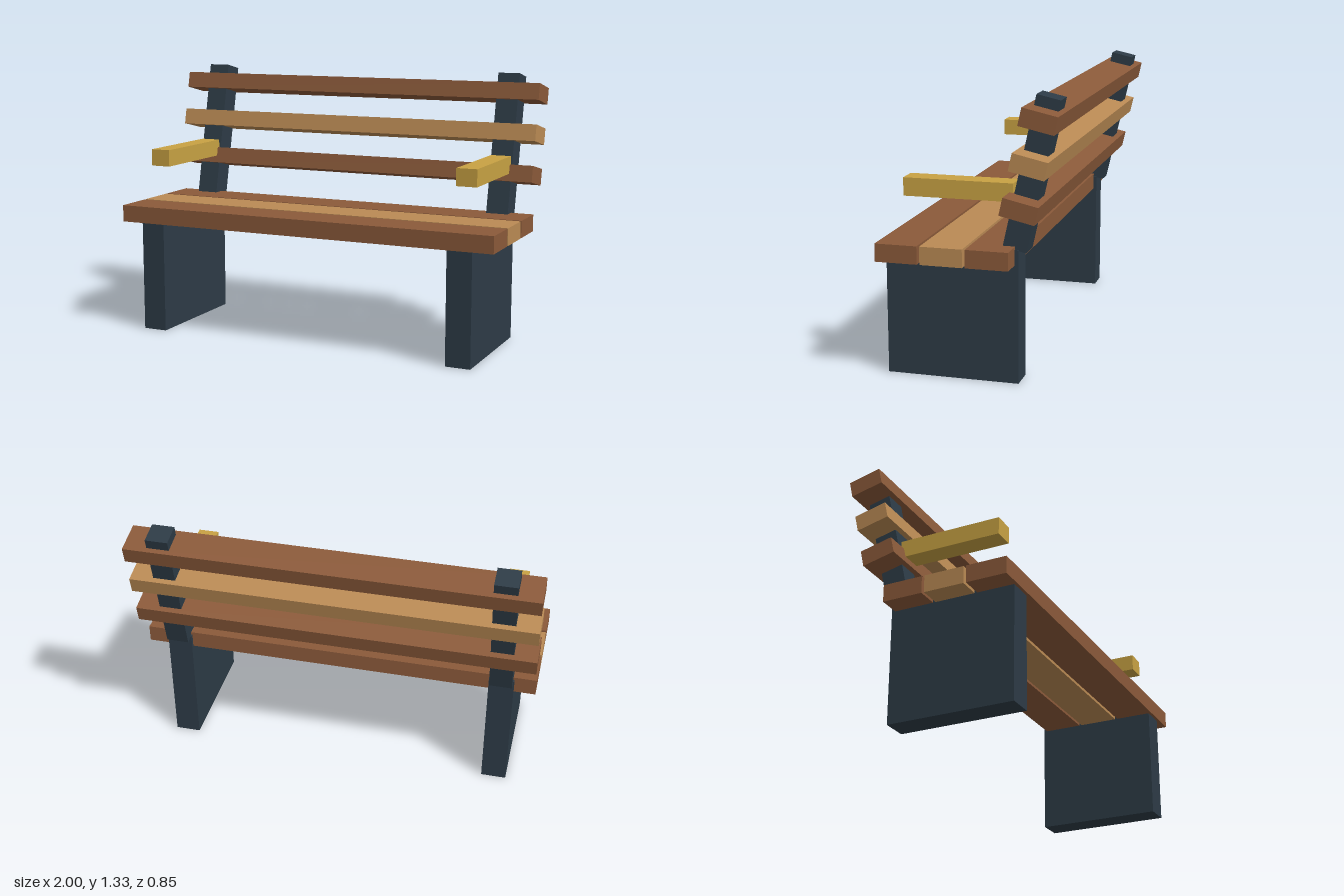
import * as THREE from 'three';

const paint = (name, color) => {
  const m = new THREE.MeshStandardMaterial({ color });
  m.name = name;
  return m;
};

export function createModel() {
  const bench = new THREE.Group();
  bench.name = 'bench';

  const brown = paint('brown wood', 0x8b5a3a);
  const tan = paint('light wood', 0xba8a54);
  const gold = paint('golden wood', 0xc8a243);
  const slate = paint('dark slate', 0x2d3b46);

  const TILT = -0.22; // backrest leans towards -z

  const addBox = (name, size, position, material, tilt = 0) => {
    const mesh = new THREE.Mesh(new THREE.BoxGeometry(...size), material);
    mesh.name = name;
    mesh.position.set(...position);
    mesh.rotation.x = tilt;
    bench.add(mesh);
  };

  // Seat and backrest slats, alternating colours
  const woods = [brown, tan, brown];
  woods.forEach((wood, i) => {
    addBox(`seatSlat${i + 1}`, [2, 0.085, 0.2], [0, 0.602, 0.326 - i * 0.213], wood);
    addBox(`backSlat${i + 1}`, [2, 0.083, 0.166], [0, 0.832 + i * 0.2, -0.246 - i * 0.043], wood, TILT);
  });

  // Leg panel, leaning upright and armrest on each side
  for (const [side, x] of [['left', 0.83], ['right', -0.83]]) {
    addBox(`${side}Leg`, [0.125, 0.63, 0.628], [x, 0.315, 0.097], slate);
    addBox(`${side}Upright`, [0.112, 0.71, 0.112], [x, 0.975, -0.274], slate, TILT);
    addBox(`${side}Armrest`, [0.103, 0.085, 0.516], [x, 0.888, 0.068], gold);
  }

  return bench;
}
